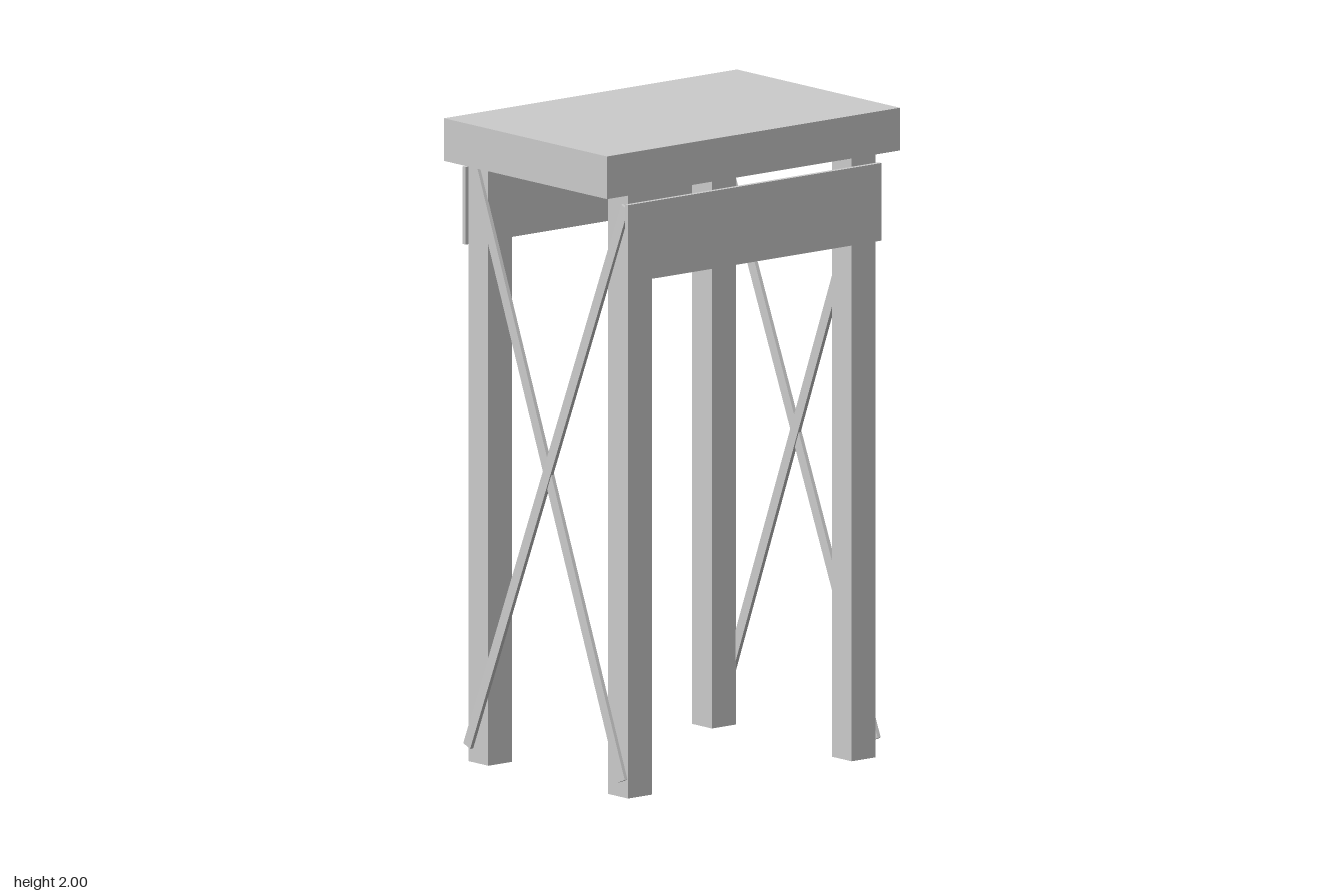
import * as THREE from 'three';

const material = new THREE.MeshStandardMaterial({ color: 0xcccccc, flatShading: true });

function box(name, w, h, d, x, y, z) {
  const mesh = new THREE.Mesh(new THREE.BoxGeometry(w, h, d), material);
  mesh.name = name;
  mesh.position.set(x, y, z);
  return mesh;
}

// Flat slat whose length runs between two points
function slat(name, from, to, width, thickness) {
  const a = new THREE.Vector3(...from), b = new THREE.Vector3(...to);
  const mesh = box(name, width, a.distanceTo(b), thickness, 0, 0, 0);
  const along = b.clone().sub(a).normalize();
  const across = along.clone().cross(new THREE.Vector3(0, 0, 1)).normalize();
  const normal = across.clone().cross(along);
  mesh.quaternion.setFromRotationMatrix(new THREE.Matrix4().makeBasis(across, along, normal));
  mesh.position.copy(a).add(b).multiplyScalar(0.5);
  return mesh;
}

export function createModel() {
  const model = new THREE.Group();
  model.name = 'table';
  model.add(box('top', 0.768, 0.132, 1.162, 0, 1.934, 0));

  // Each half is the other turned half way round
  for (const [name, turn] of [['front', 0], ['back', Math.PI]]) {
    const half = new THREE.Group();
    half.name = name + 'Frame';
    half.rotation.y = turn;

    // Square posts
    for (const side of [-1, 1]) {
      half.add(box('leg', 0.093, 1.868, 0.095, side * 0.329, 0.934, 0.4435));
    }
    // Side board across the legs
    half.add(box('sideBoard', 0.015, 0.24, 1.006, 0.3825, 1.72, 0));
    // Crossed braces, one leaning over the other
    half.add(slat('flatBrace', [0.357, 0.052, 0.496], [-0.341, 1.849, 0.496], 0.035, 0.012));
    half.add(slat('leaningBrace', [-0.359, 0.052, 0.506], [0.37, 1.83, 0.494], 0.035, 0.012));
    model.add(half);
  }
  return model;
}
